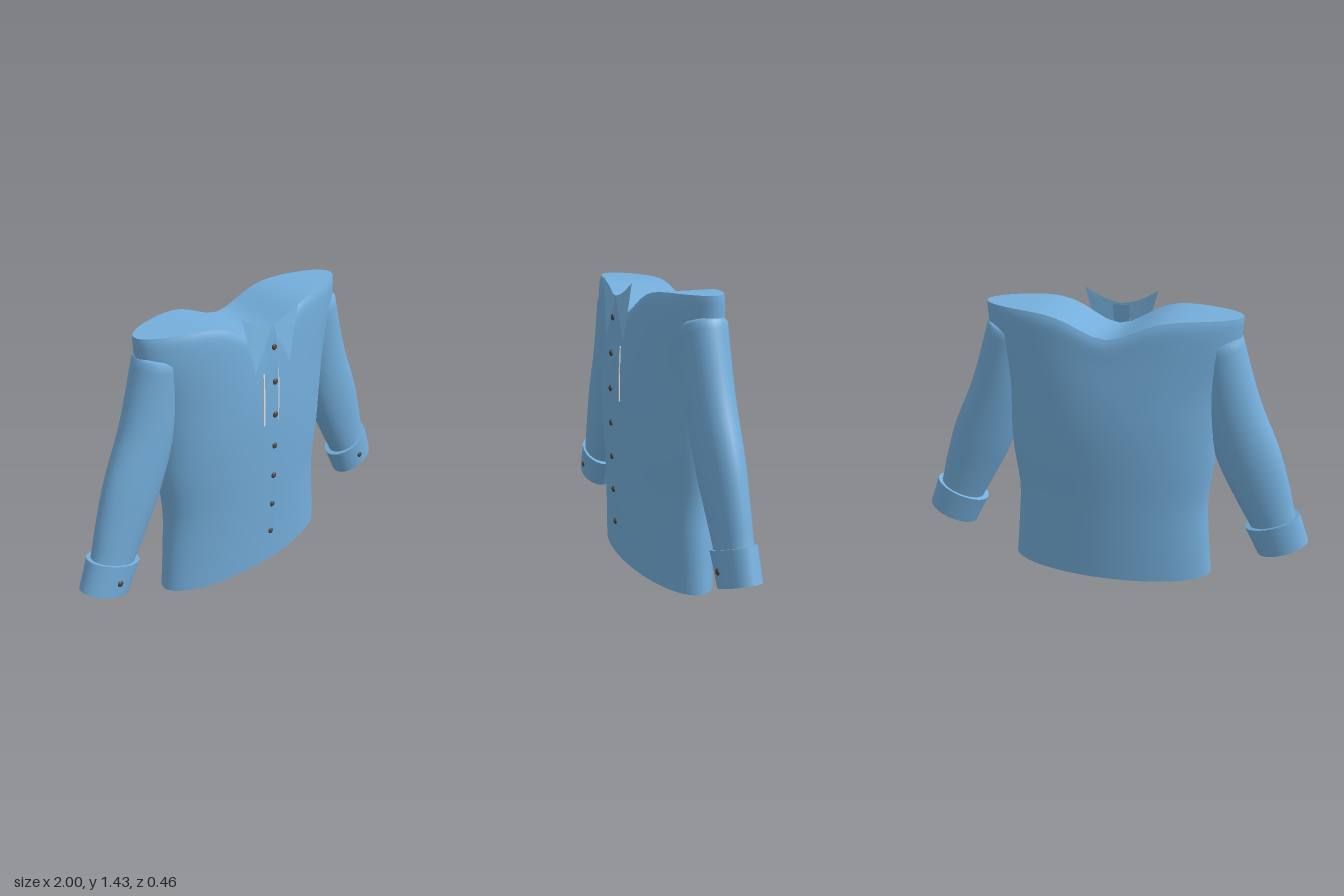
import * as THREE from 'three';

const cloth = new THREE.MeshStandardMaterial({ color: 0x74aedb, side: THREE.DoubleSide });
cloth.name = 'blue cloth';
const collarCloth = new THREE.MeshStandardMaterial({ color: 0x7fbce9, side: THREE.DoubleSide });
collarCloth.name = 'light blue collar';
const dark = new THREE.MeshStandardMaterial({ color: 0x4a4645 });
dark.name = 'dark button';
const pale = new THREE.MeshStandardMaterial({ color: 0xe6e0dd });
pale.name = 'pale trim';

const N = 64;

function add(parent, name, geometry, material) {
  const mesh = new THREE.Mesh(geometry, material);
  mesh.name = name;
  parent.add(mesh);
  return mesh;
}

// Catmull-Rom interpolation of rows of numbers
function smooth(keys, steps) {
  const rows = [];
  const last = keys.length - 1;
  for (let k = 0; k < last; k++) {
    const p = [Math.max(k - 1, 0), k, k + 1, Math.min(k + 2, last)].map((i) => keys[i]);
    for (let s = 0; s < steps; s++) {
      const t = s / steps;
      rows.push(p[1].map((b, i) => {
        const a = p[0][i], c = p[2][i], d = p[3][i];
        return b + 0.5 * t * (c - a + t * (2 * a - 5 * b + 4 * c - d + t * (3 * (b - c) + d - a)));
      }));
    }
  }
  rows.push(keys[last]);
  return rows;
}

// Skin closed rings of equal point count, listed from bottom to top
function loft(rings) {
  const n = rings[0].length;
  const index = [];
  for (let j = 0; j < rings.length - 1; j++) {
    for (let i = 0; i < n; i++) {
      const a = j * n + i, b = j * n + (i + 1) % n;
      index.push(a, a + n, b, b, a + n, b + n);
    }
  }
  const g = new THREE.BufferGeometry();
  g.setAttribute('position', new THREE.Float32BufferAttribute(rings.flat(2), 3));
  g.setIndex(index);
  g.computeVertexNormals();
  return g;
}

function bend(geometry, zAt) {
  const p = geometry.attributes.position;
  for (let i = 0; i < p.count; i++) p.setZ(i, p.getZ(i) + zAt(p.getX(i), p.getY(i)));
  geometry.computeVertexNormals();
  return geometry;
}

// Oval body ring with the neckline dipping at front and back
function bodyRing([y, w, front, back]) {
  const ring = [];
  for (let i = 0; i < N; i++) {
    const a = (i / N) * Math.PI * 2, s = Math.sin(a), x = w * Math.cos(a);
    const dip = (0.1175 + 0.0175 * s) * Math.exp(-((x / 0.18) ** 2));
    const z = -0.02 + s * (s > 0 ? front + 0.02 : -back - 0.02);
    ring.push([x, y - dip * THREE.MathUtils.smoothstep(y, 0.9, 1.4), z]);
  }
  return ring;
}

// Tilted oval ring for a sleeve or cuff; side is +1 or -1
function armRing([cx, cy, half, depth, tilt], side) {
  const ring = [];
  for (let i = 0; i < N / 2; i++) {
    const a = (i / N) * 4 * Math.PI * side, c = half * Math.cos(a);
    ring.push([side * (cx + c * Math.cos(tilt)), cy + c * Math.sin(tilt), -0.016 + depth * Math.sin(a)]);
  }
  return ring;
}

function button(parent, name, x, y, z) {
  const b = add(parent, name, new THREE.SphereGeometry(0.015, 16, 12), dark);
  b.scale.z = 0.5;
  b.position.set(x, y, z);
}

const placketZ = (y) => 0.206 - (y < 0.85 ? 0.045 : 0.1) * (y - 0.85) ** 2;

export function createModel() {
  const shirt = new THREE.Group();
  shirt.name = 'shirt';

  // Body: y, half width, front z, back z
  const rows = smooth([
    [0, 0.525, 0.165, -0.2], [0.2, 0.505, 0.173, -0.207], [0.42, 0.49, 0.183, -0.215],
    [0.65, 0.512, 0.192, -0.226], [0.85, 0.522, 0.195, -0.23], [1.05, 0.54, 0.189, -0.222],
    [1.25, 0.592, 0.178, -0.208], [1.36, 0.605, 0.168, -0.2], [1.405, 0.605, 0.15, -0.186],
  ], 5);
  const rings = rows.map(bodyRing);
  add(shirt, 'body', loft(rings), cloth);

  // Surface closing the neckline, spanning front rim to back rim
  const rim = rings[rings.length - 1];
  const pos = [], index = [];
  for (let i = 0; i <= N / 2; i++) {
    pos.push(...rim[i], ...rim[(N - i) % N]);
    if (i < N / 2) index.push(2 * i, 2 * i + 1, 2 * i + 2, 2 * i + 2, 2 * i + 1, 2 * i + 3);
  }
  const top = new THREE.BufferGeometry();
  top.setAttribute('position', new THREE.Float32BufferAttribute(pos, 3));
  top.setIndex(index);
  top.computeVertexNormals();
  add(shirt, 'neckClosure', top, cloth);

  // Button placket
  const strip = new THREE.PlaneGeometry(0.08, 1.2, 1, 24);
  strip.translate(0, 0.75, 0);
  add(shirt, 'placket', bend(strip, (x, y) => placketZ(y)), cloth);
  for (let i = 0; i < 7; i++) {
    const y = 0.22 + i * 0.172;
    button(shirt, 'frontButton', 0, y, placketZ(y) + 0.02);
  }

  for (const side of [1, -1]) {
    const arm = new THREE.Group();
    arm.name = side > 0 ? 'leftArm' : 'rightArm';
    shirt.add(arm);

    // Sleeve: centre x, centre y, half width, half depth, tilt
    const sleeve = smooth([
      [0.83, 0.32, 0.116, 0.079, 0.39], [0.81, 0.365, 0.118, 0.08, 0.38],
      [0.755, 0.5, 0.136, 0.087, 0.37], [0.672, 0.7, 0.153, 0.098, 0.31],
      [0.572, 0.96, 0.14, 0.104, 0.34], [0.5, 1.27, 0.113, 0.107, 0.3],
    ], 6);
    sleeve.push([0.498, 1.285, 0.1, 0.094, 0.3], [0.497, 1.29, 0.001, 0.001, 0.3]);
    add(arm, 'sleeve', loft(sleeve.map((r) => armRing(r, side))), cloth);

    // Cuff with outer wall, rims and inner wall, each edge kept sharp
    const lo = [0.878, 0.2, 0.132, 0.088, 0.39], hi = [0.813, 0.35, 0.142, 0.092, 0.37];
    const inset = (r) => [r[0], r[1], r[2] - 0.012, r[3] - 0.012, r[4]];
    const walls = [[lo, hi], [inset(lo), lo], [hi, [hi[0], hi[1], 0.115, 0.078, hi[4]]], [inset(hi), inset(lo)]];
    for (const wall of walls) add(arm, 'cuff', loft(wall.map((r) => armRing(r, side))), cloth);
    button(arm, 'cuffButton', side * 0.845, 0.265, 0.076);

    // Collar flap
    const shape = new THREE.Shape();
    shape.moveTo(0, 1.355);
    shape.quadraticCurveTo(side * 0.08, 1.36, side * 0.178, 1.43);
    shape.lineTo(side * 0.11, 1.145);
    shape.lineTo(side * 0.04, 1.28);
    shape.closePath();
    const flap = new THREE.ShapeGeometry(shape, 10);
    add(shirt, 'collarFlap', bend(flap, (x, y) => 0.205 - (y - 1.14) * 0.05 - 0.2 * x * x), collarCloth);

    // Thin pale trim beside the placket
    const trim = new THREE.BoxGeometry(0.008, 0.27, 0.004, 1, 6, 1);
    trim.translate(side * 0.046, 0.985, 0);
    add(shirt, 'placketTrim', bend(trim, (x, y) => placketZ(y) - 0.007), pale);
  }
  return shirt;
}
